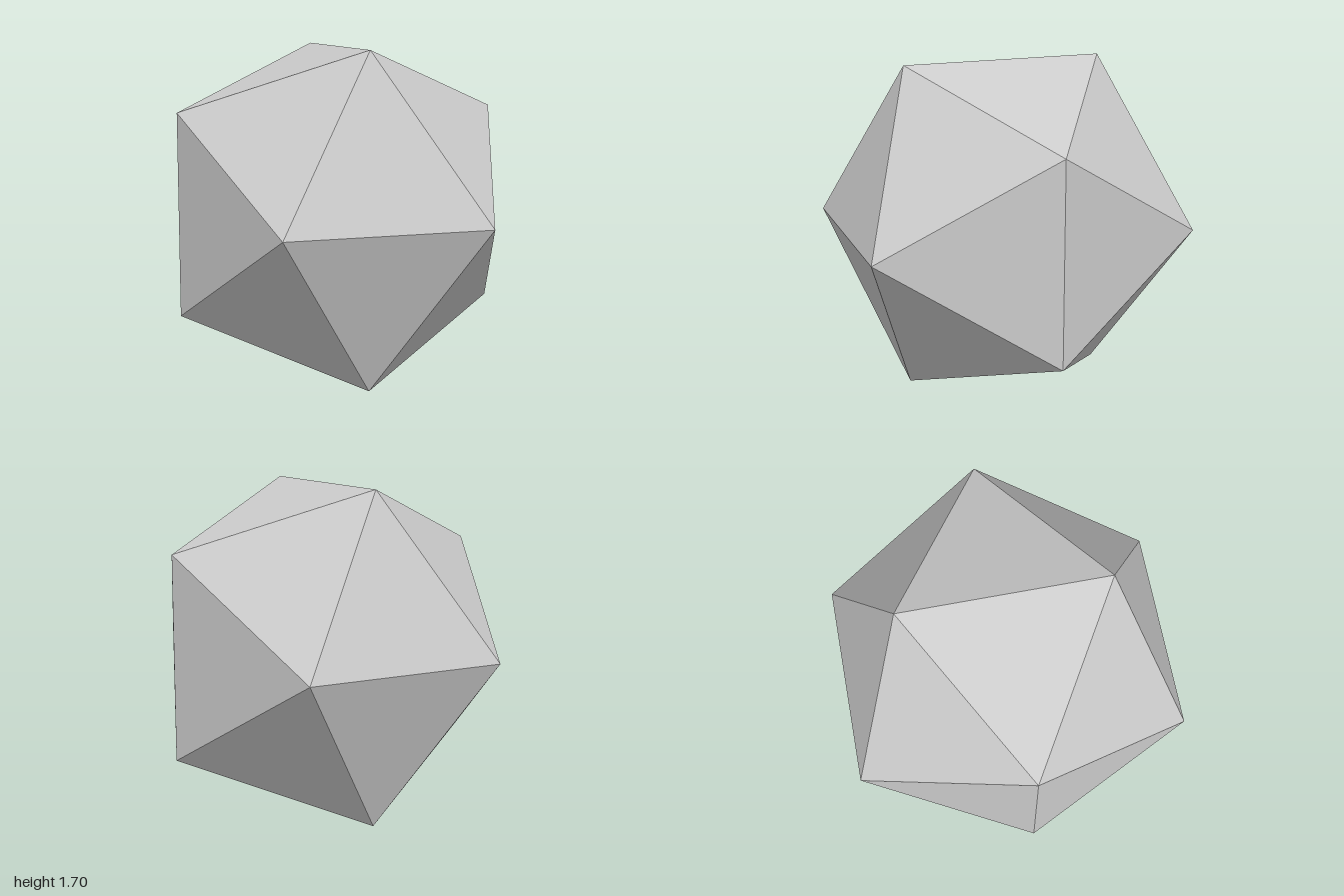
import * as THREE from 'three';

export function createModel() {
  const model = new THREE.Group();
  model.name = 'twentySidedDie';

  // Regular icosahedron, circumradius 1, with its poles on the z axis
  const ringZ = 1 / Math.sqrt(5);
  const ringRadius = 2 / Math.sqrt(5);
  const centreY = ringRadius * Math.sin(THREE.MathUtils.degToRad(72));
  const ringPoint = (degrees, z) => {
    const a = THREE.MathUtils.degToRad(degrees);
    return [ringRadius * Math.cos(a), centreY + ringRadius * Math.sin(a), z];
  };
  const frontRing = k => ringPoint(36 + 72 * k, ringZ);
  const backRing = k => ringPoint(72 * k, -ringZ);
  const frontPole = [0, centreY, 1];
  const backPole = [0, centreY, -1];

  // Five front cap, ten band and five back cap triangles
  const positions = [];
  for (let k = 0; k < 5; k++) {
    positions.push(
      ...frontPole, ...frontRing(k), ...frontRing(k + 1),
      ...backRing(k), ...backRing(k + 1), ...frontRing(k),
      ...frontRing(k), ...backRing(k + 1), ...frontRing(k + 1),
      ...backPole, ...backRing(k + 1), ...backRing(k)
    );
  }
  const geometry = new THREE.BufferGeometry();
  geometry.setAttribute('position', new THREE.Float32BufferAttribute(positions, 3));
  geometry.computeVertexNormals();

  // Faceted body
  const body = new THREE.Mesh(
    geometry,
    new THREE.MeshStandardMaterial({ color: 0xcccccc, flatShading: true })
  );
  body.name = 'dieBody';
  model.add(body);
  return model;
}
